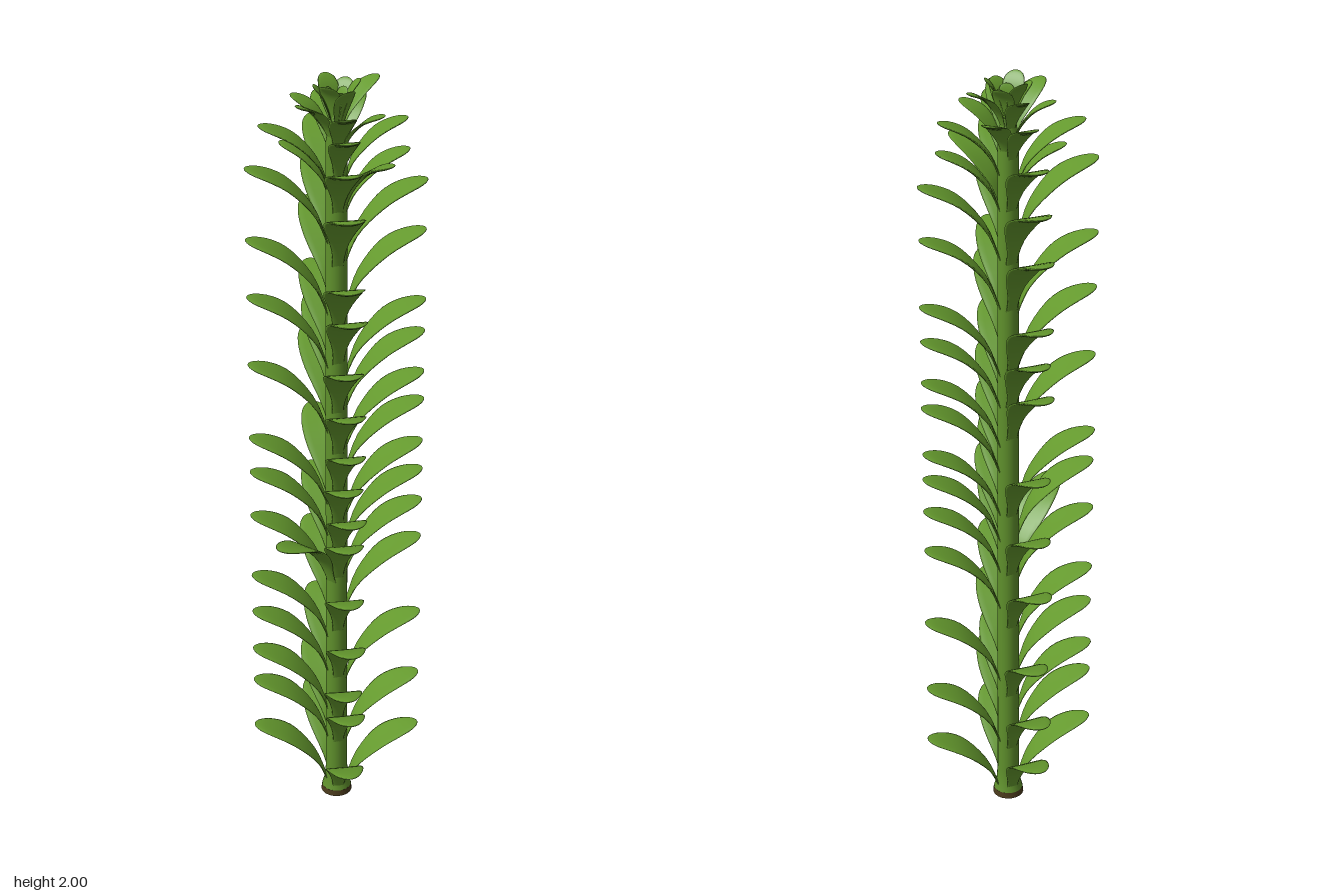
import * as THREE from 'three';

const leafGreen = new THREE.MeshStandardMaterial({ color: 0x659a2e });
leafGreen.name = 'leaf green';
const stemGreen = new THREE.MeshStandardMaterial({ color: 0x5f902c });
stemGreen.name = 'stem green';
const cutBrown = new THREE.MeshStandardMaterial({ color: 0x4a3a1c });
cutBrown.name = 'cut end brown';

// Leaf of unit reach and height: hugs the stem, then arches outwards along +z; tip at y = 0
function makeLeaf() {
  const spine = new THREE.CatmullRomCurve3([
    [0.02, -0.2], [0.033, -0.16], [0.05, -0.12], [0.08, -0.08],
    [0.12, -0.043], [0.16, -0.02], [0.21, 0],
  ].map(([z, y]) => new THREE.Vector3(0, y, z)));
  const rows = 18, sides = 14, pos = [], index = [];
  for (let i = 0; i <= rows; i++) {
    const t = Math.sin((i / rows) * Math.PI / 2);
    const p = spine.getPointAt(t), d = spine.getTangentAt(t);
    const half = t > 0.66
      ? 0.048 * Math.sqrt(Math.max(0, 1 - ((t - 0.66) / 0.34) ** 2))
      : 0.014 + 0.034 * THREE.MathUtils.smoothstep(t, 0.05, 0.66);
    const thick = 0.0055 * Math.min(1, half / 0.03);
    for (let j = 0; j < sides; j++) {
      const a = (j / sides) * Math.PI * 2;
      const u = half * Math.cos(a);
      const n = thick * Math.sin(a) + 2 * u * u; // slightly cupped
      pos.push(u, p.y + d.z * n, p.z - d.y * n);
      if (i < rows) {
        const k = i * sides + j, k1 = i * sides + (j + 1) % sides;
        index.push(k, k1, k + sides, k1, k1 + sides, k + sides);
      }
    }
  }
  const g = new THREE.BufferGeometry();
  g.setAttribute('position', new THREE.Float32BufferAttribute(pos, 3));
  g.setIndex(index);
  g.computeVertexNormals();
  return g;
}

export function createModel() {
  const model = new THREE.Group();
  const leafGeo = makeLeaf();

  // Place a leaf by the position of its tip
  const addLeaf = (name, x, y, z, height = 0.2, width = 1) => {
    const leaf = new THREE.Mesh(leafGeo, leafGreen);
    leaf.name = name;
    leaf.position.y = y;
    leaf.rotation.y = Math.atan2(x, z);
    leaf.scale.set(width, height / 0.2, Math.hypot(x, z) / 0.21);
    model.add(leaf);
  };

  // Stem with a flared foot and the cut end below it
  const stem = new THREE.Mesh(new THREE.LatheGeometry([
    [0.038, 0.015], [0.031, 0.04], [0.028, 0.08], [0.027, 1.0], [0.025, 1.85], [0.012, 1.93], [0, 1.94],
  ].map(([r, y]) => new THREE.Vector2(r, y)), 20), stemGreen);
  stem.name = 'stem';
  const foot = new THREE.Mesh(new THREE.CylinderGeometry(0.038, 0.04, 0.016, 20), cutBrown);
  foot.name = 'cutEnd';
  foot.position.y = 0.008;
  model.add(stem, foot);

  // Four columns of long leaves: tip direction and tip heights
  const columns = [
    ['leftLeaf', 0.214, 0.004,
      [0.195, 0.355, 0.55, 0.77, 0.88, 0.97, 1.045, 1.167, 1.24, 1.35, 1.437, 1.615, 1.745]],
    ['rightLeaf', -0.214, -0.012,
      [0.22, 0.365, 0.455, 0.575, 0.68, 0.855, 0.985, 1.075, 1.28, 1.46, 1.605, 1.79]],
    ['frontLeaf', 0.002, 0.226,
      [0.195, 0.36, 0.435, 0.565, 0.71, 0.87, 0.94, 1.03, 1.12, 1.23, 1.345, 1.48, 1.565, 1.74]],
    ['backLeaf', -0.034, -0.225,
      [0.21, 0.345, 0.51, 0.72, 0.88, 1.05, 1.27, 1.36, 1.45, 1.62, 1.74]],
  ];
  for (const [name, x, z, heights] of columns)
    heights.forEach((y, i) => {
      const turn = 0.03 * Math.sin(i * 2.4);
      addLeaf(name, x + z * turn, y, z - x * turn, Math.min(0.2, y - 0.005));
    });
  addLeaf('strayLeaf', -0.163, 0.86, 0.172);

  // Crown: shorter leaves near the top, [tip x, y, z, height, width]
  [
    [0.17, 1.825, 0.01, 0.17, 0.85], [0.165, 1.9, 0.005, 0.16, 0.75],
    [-0.18, 1.89, -0.015, 0.16, 0.85], [-0.13, 1.84, -0.035, 0.14, 0.7],
    [0, 1.84, 0.2, 0.17, 0.9], [0.005, 1.91, 0.175, 0.16, 0.75], [0.005, 1.95, 0.135, 0.14, 0.65],
    [-0.03, 1.84, -0.2, 0.17, 0.9], [-0.025, 1.92, -0.145, 0.14, 0.65],
    [0.112, 1.83, 0.125, 0.16, 0.75], [0.075, 1.93, -0.12, 0.13, 0.65],
    [0.1, 1.93, 0.07, 0.12, 0.65], [-0.1, 1.965, 0.075, 0.13, 0.65],
    [0.105, 1.985, -0.052, 0.12, 0.58], [-0.1, 1.95, -0.05, 0.12, 0.58],
    [-0.012, 1.97, -0.1, 0.12, 0.55],
  ].forEach(([x, y, z, h, w]) => addLeaf('crownLeaf', x, y, z, h, w));

  // Bud: upright leaves closing over the tip
  for (let i = 0; i < 6; i++) {
    const a = (i / 6) * Math.PI * 2 + 0.45;
    addLeaf('budLeaf', 0.055 * Math.sin(a), 1.985 + 0.012 * (i % 2), 0.055 * Math.cos(a), 0.14, 0.55);
  }
  for (let i = 0; i < 3; i++) {
    const a = (i / 3) * Math.PI * 2;
    addLeaf('innerBudLeaf', 0.026 * Math.sin(a), 1.975, 0.026 * Math.cos(a), 0.1, 0.4);
  }
  return model;
}
